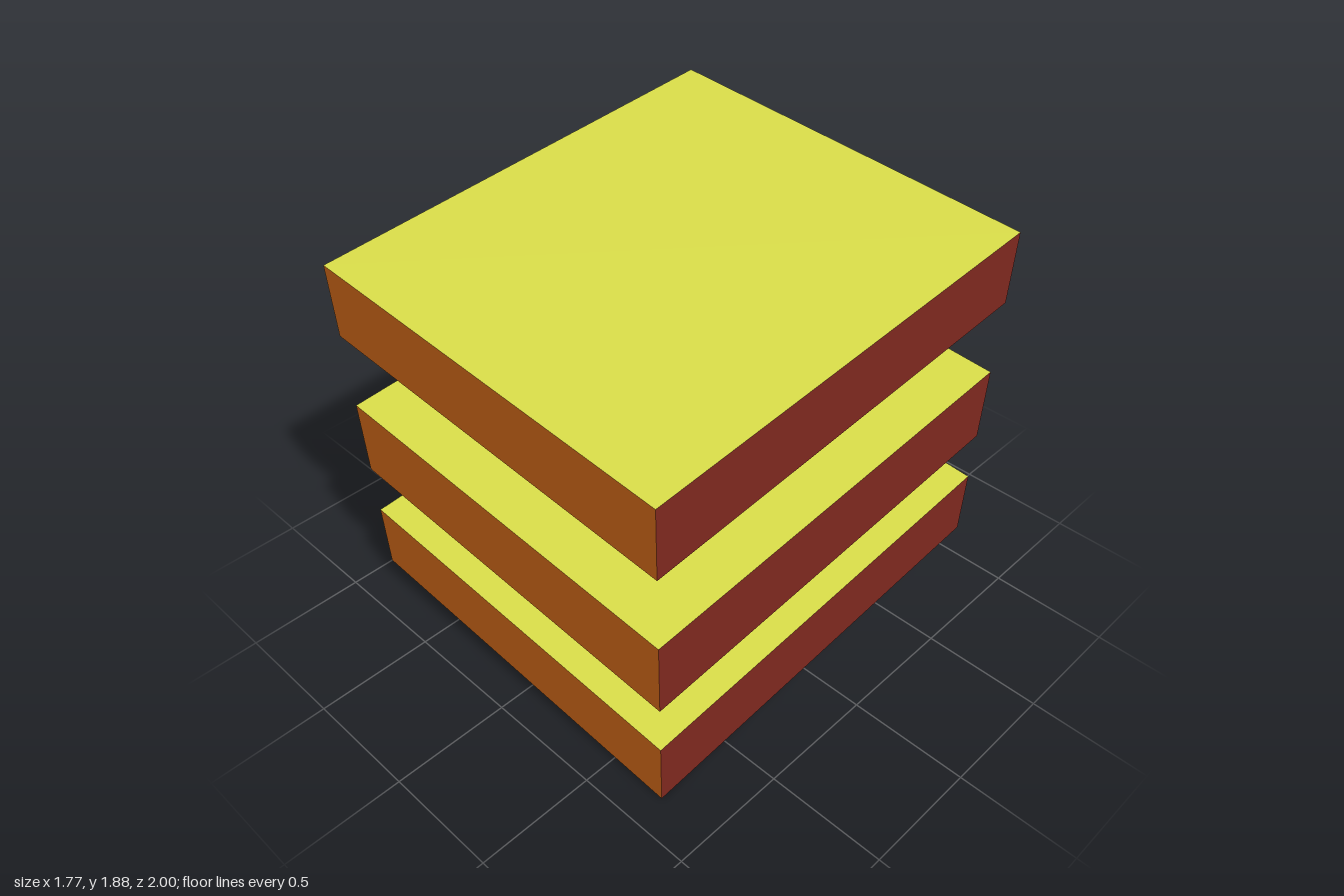
import * as THREE from 'three';

const paint = (color) => new THREE.MeshStandardMaterial({ color });

export function createModel() {
  const model = new THREE.Group();
  model.name = 'slabStack';

  // One colour per side: +x, -x, top, bottom, front, back
  const yellow = paint(0xd8dc48);
  const sides = [paint(0x842a20), paint(0xa87e16), yellow, yellow, paint(0xd86c1a), paint(0xc80f45)];

  // The whole stack leans slightly forward and to the side
  const stack = new THREE.Group();
  stack.name = 'tiltedStack';
  stack.position.set(-0.004, 0.89, -0.002);
  stack.rotation.set(0.082, 0, -0.076);
  model.add(stack);

  // Slabs spaced along the tilted axis; the middle one is a little thicker
  const slabs = [
    ['bottomSlab', -0.588, 0.328],
    ['middleSlab', 0, 0.357],
    ['topSlab', 0.696, 0.328],
  ];
  for (const [name, height, thickness] of slabs) {
    const slab = new THREE.Mesh(new THREE.BoxGeometry(1.648, thickness, 1.863), sides);
    slab.name = name;
    slab.position.y = height;
    stack.add(slab);
  }
  return model;
}
